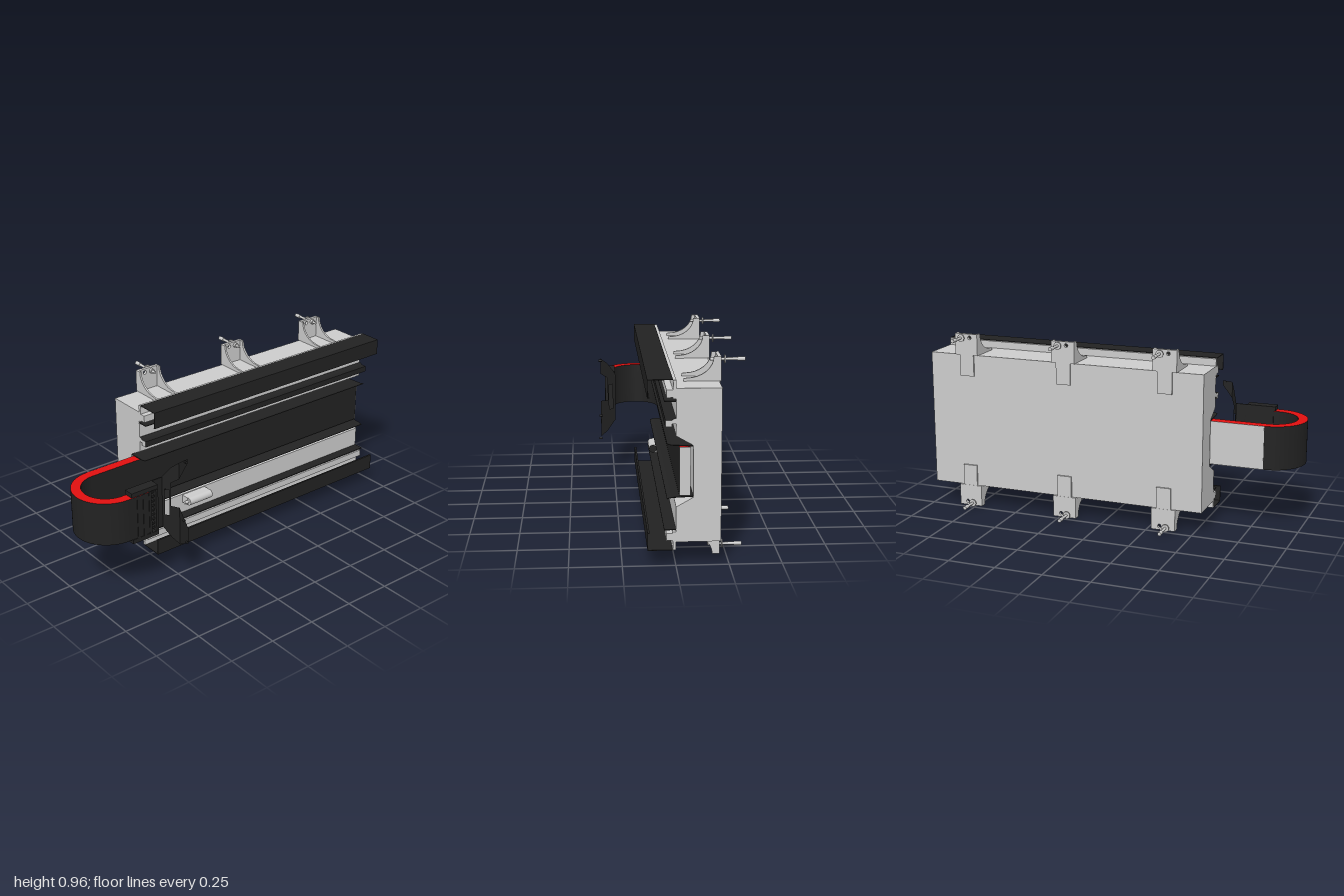
import * as THREE from 'three';
import { toCreasedNormals } from 'three/addons/utils/BufferGeometryUtils.js';

const mat = (color) => new THREE.MeshStandardMaterial({ color, side: THREE.DoubleSide });
const grey = mat(0xcccccc), dark = mat(0x222222), red = mat(0xe01010);
const X0 = -0.54, X1 = 1, MID = 0.48;

export function createModel() {
  const root = new THREE.Group();
  const add = (name, geo, material, parent = root) => {
    const m = new THREE.Mesh(geo, material);
    m.name = name;
    parent.add(m);
    return m;
  };
  const box = (name, x0, x1, y0, y1, z0, z1, material, parent) =>
    add(name, new THREE.BoxGeometry(x1 - x0, y1 - y0, z1 - z0)
      .translate((x0 + x1) / 2, (y0 + y1) / 2, (z0 + z1) / 2), material, parent);
  // sweep a [z, y] profile along x
  const sweep = (pts, x0, x1) => new THREE.ExtrudeGeometry(
    new THREE.Shape(pts.map(([z, y]) => new THREE.Vector2(-z, y))),
    { depth: x1 - x0, bevelEnabled: false }).rotateY(Math.PI / 2).translate(x0, 0, 0);
  const rod = (name, r, x, y, z0, z1, material, parent) =>
    add(name, new THREE.CylinderGeometry(r, r, z1 - z0, 16).rotateX(Math.PI / 2)
      .translate(x, y, (z0 + z1) / 2), material, parent);
  // mirror profile points to the lower edge of the body
  const flip = (pts, on, mid = MID) => (on ? pts.map(([z, y]) => [z, 2 * mid - y]) : pts);

  // main body with a flared groove
  add('body', sweep([[-0.21, 0.115], [0, 0.115], [0, 0.285], [-0.08, 0.33], [-0.08, 0.577],
    [0, 0.623], [0, 0.845], [-0.21, 0.845]], X0, X1), grey);

  // rails, covers and seal lips along the upper and lower edges
  for (const low of [false, true]) {
    const side = low ? 'lower' : 'upper';
    add(side + 'Holder', sweep(flip([[0, 0.795], [0.015, 0.795], [0.015, 0.802], [0.045, 0.802],
      [0.045, 0.838], [0.015, 0.838], [0.013, 0.865], [0.015, 0.883], [0, 0.883]], low), X0, X1), grey);
    add(side + 'Cover', sweep(flip([[0.015, 0.886], [0.132, 0.886], [0.132, 0.8], [0.122, 0.8],
      [0.122, 0.803], [0.129, 0.803], [0.129, 0.883], [0.015, 0.883]], low), X0, X1), dark);
    add(side + 'Fin', sweep(flip([[0, 0.783], [0.055, 0.783], [0.055, 0.787], [0, 0.787]], low), X0, X1), dark);
    add(side + 'Lip', sweep(flip([[0.042, 0.584], [0.02, 0.578], [-0.08, 0.573], [-0.08, 0.577],
      [0.02, 0.581], [0.042, 0.587]], low, 0.455), X0, X1), dark);
  }
  add('middleRail', sweep([[0, 0.68], [0.02, 0.68], [0.02, 0.666], [0.05, 0.666], [0.05, 0.697],
    [0.02, 0.697], [0.008, 0.705], [0, 0.705]], X0, X1), [grey, dark]);

  // sensor below the groove
  const sensor = new THREE.Group();
  sensor.name = 'sensor';
  root.add(sensor);
  box('sensorBase', -0.28, -0.13, 0.237, 0.281, 0, 0.045, grey, sensor);
  const alongX = (name, r, x0, x1, m) => add(name, new THREE.CylinderGeometry(r, r, x1 - x0, 24)
    .rotateZ(Math.PI / 2).translate((x0 + x1) / 2, 0.259, 0.046), m, sensor);
  alongX('sensorBarrel', 0.022, -0.275, -0.13, grey);
  alongX('sensorCap', 0.021, -0.13, -0.128, dark);
  alongX('sensorNub', 0.008, -0.3, -0.275, grey);

  // looped energy chain: straight run, half turn and short return
  const c = new THREE.Shape();
  c.moveTo(X1, 0.065).lineTo(-0.82, 0.065);
  c.absarc(-0.82, -0.115, 0.18, Math.PI / 2, Math.PI * 1.5, false);
  c.lineTo(-0.7, -0.295).lineTo(-0.7, -0.245).lineTo(-0.82, -0.245);
  c.absarc(-0.82, -0.115, 0.13, Math.PI * 1.5, Math.PI / 2, true);
  c.lineTo(X1, 0.015);
  const chain = new THREE.ExtrudeGeometry(c, { depth: 0.23, bevelEnabled: false, curveSegments: 32 });
  add('chain', toCreasedNormals(chain.rotateX(-Math.PI / 2).translate(0, 0.34, 0), 0.5), [red, dark]);
  box('chainBacking', -0.82, X1, 0.34, 0.57, -0.067, -0.065, grey);
  box('chainEnd', X1 - 0.001, X1 + 0.001, 0.34, 0.57, -0.065, -0.015, grey);

  // slotted clamp on the free end of the chain
  const clamp = new THREE.Group();
  clamp.name = 'clamp';
  root.add(clamp);
  for (const y of [0.315, 0.572]) box('clampFlange', -0.8, -0.645, y, y + 0.023, 0.24, 0.295, dark, clamp);
  box('clampBack', -0.79, -0.64, 0.32, 0.59, 0.24, 0.246, dark, clamp);
  for (const x of [-0.77, -0.735, -0.7, -0.66]) {
    box('clampBar', x, x + 0.014, 0.338, 0.572, 0.246, 0.298, dark, clamp);
  }
  for (let i = 0; i < 9; i++) {
    box('clampTooth', -0.695, -0.65, 0.352 + i * 0.025, 0.362 + i * 0.025, 0.246, 0.285, dark, clamp);
  }

  // bent carrier arm with an upper and a lower wing
  const arm = new THREE.Group();
  arm.name = 'carrierArm';
  root.add(arm);
  const plate = (name, pts) => {
    const g = new THREE.BufferGeometry();
    g.setAttribute('position', new THREE.Float32BufferAttribute(pts.flat(), 3));
    g.setIndex([0, 1, 2, 0, 2, 3]);
    const flat = g.toNonIndexed();
    flat.computeVertexNormals();
    add(name, flat, dark, arm);
  };
  box('armBase', -0.65, -0.585, 0.315, 0.595, 0.24, 0.246, dark, arm);
  const F = [-0.585, 0.243], M = [-0.56, 0.285], E = [-0.538, 0.325], T = [-0.485, 0.325];
  const p = ([x, z], y) => [x, y, z];
  plate('upperWebRoot', [p(F, 0.53), p(M, 0.53), p(M, 0.655), p(F, 0.595)]);
  plate('lowerWebRoot', [p(F, 0.315), p(M, 0.26), p(M, 0.385), p(F, 0.385)]);
  plate('webBridge', [p([-0.577, 0.256], 0.385), p(F, 0.385), p(F, 0.53), p([-0.577, 0.256], 0.53)]);
  plate('webEdge', [p([-0.565, 0.277], 0.385), p(M, 0.385), p(M, 0.53), p([-0.565, 0.277], 0.53)]);
  plate('upperWeb', [p(M, 0.57), p(E, 0.6), p(E, 0.69), p(M, 0.655)]);
  plate('lowerWeb', [p(M, 0.26), p(E, 0.228), p(E, 0.44), p(M, 0.44)]);
  plate('upperTab', [p(E, 0.6), p(T, 0.67), p(T, 0.695), p(E, 0.69)]);
  plate('lowerTab', [p(E, 0.228), p(T, 0.215), p(T, 0.3), p(E, 0.44)]);
  for (const [x, y] of [[-0.5, 0.228], [-0.515, 0.36], [-0.5, 0.684]]) {
    rod('armScrew', 0.006, x, y, 0.318, 0.336, dark, arm);
  }

  // wall brackets, the lower row turned upside down
  const gusset = [[-0.205, 0.845], [-0.045, 0.845], [-0.045, 0.858]];
  for (let i = 0; i <= 8; i++) {
    const a = (i / 8) * Math.PI / 2;
    gusset.push([-0.06 - 0.125 * Math.sin(a), 0.96 - 0.1 * Math.cos(a)]);
  }
  gusset.push([-0.205, 0.96]);
  for (const low of [false, true]) {
    for (const x of [-0.335, 0.223, 0.784]) {
      const b = new THREE.Group();
      b.name = low ? 'lowerBracket' : 'upperBracket';
      for (const s of [-1, 1]) add('gusset', sweep(gusset, s * 0.06 - 0.005, s * 0.06 + 0.005), grey, b);
      // back plate with one free hole, and a strap down the back of the body
      const back = new THREE.Shape([[-0.065, 0.845], [0.065, 0.845], [0.065, 0.96], [-0.065, 0.96]]
        .map((q) => new THREE.Vector2(...q)));
      back.holes.push(new THREE.Path().absarc(-0.02, 0.94, 0.01, 0, Math.PI * 2, true));
      add('backPlate', new THREE.ExtrudeGeometry(back, { depth: 0.017, bevelEnabled: false })
        .translate(0, 0, -0.22), grey, b);
      box('strap', -0.04, 0.04, 0.73, 0.845, -0.219, -0.205, grey, b);
      // anchor bolt
      rod('boltShaft', 0.007, 0.02, 0.94, -0.335, -0.17, grey, b);
      rod('boltNut', 0.013, 0.02, 0.94, -0.203, -0.19, grey, b);
      rod('boltWasher', 0.02, 0.02, 0.94, -0.243, -0.237, grey, b);
      rod('boltSleeve', 0.01, 0.02, 0.94, -0.335, -0.3, grey, b);
      b.position.x = x;
      if (low) {
        b.rotation.z = Math.PI;
        b.position.y = 2 * MID;
      }
      root.add(b);
    }
  }
  return root;
}
